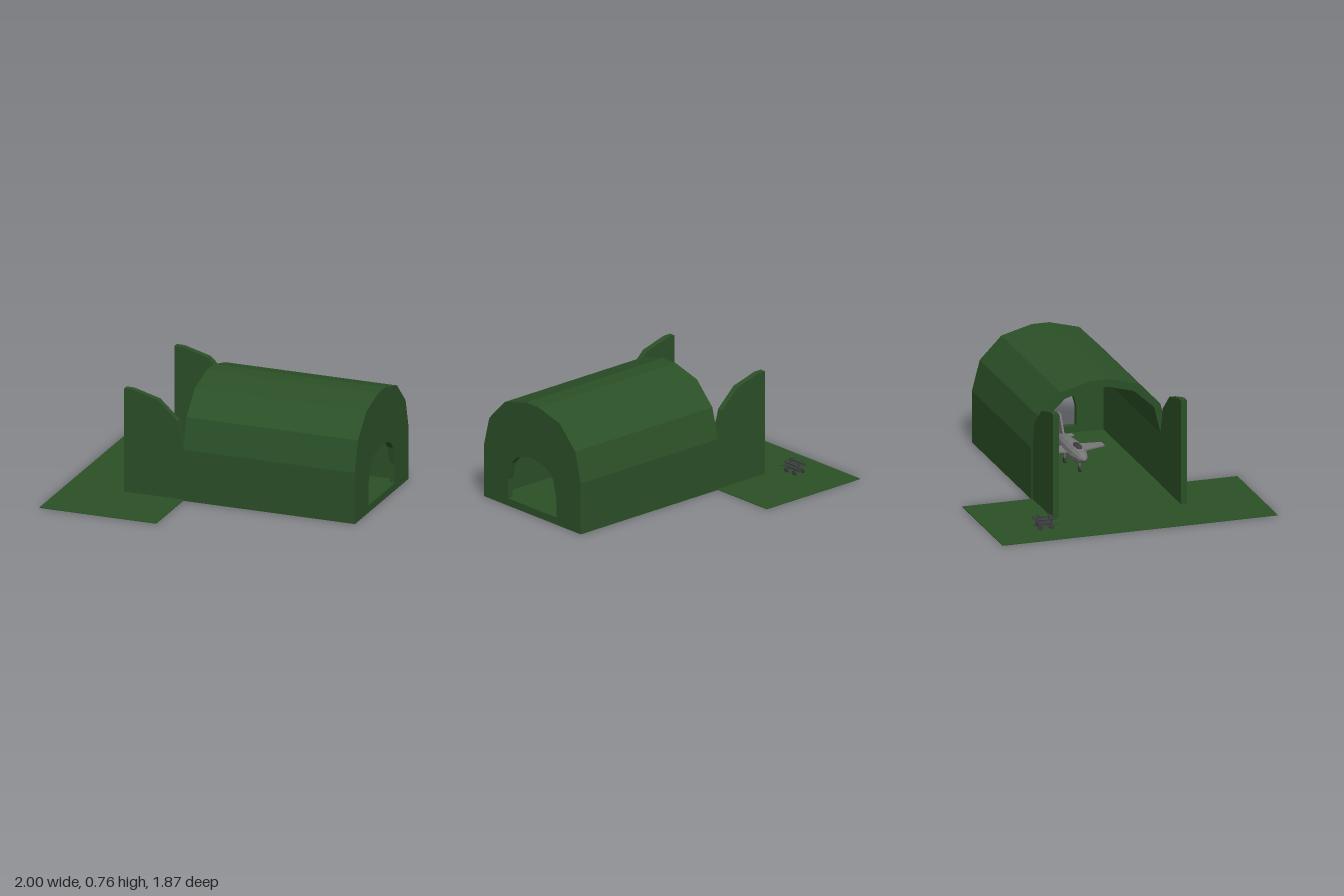
import * as THREE from 'three';

const paint = (color) => new THREE.MeshStandardMaterial({ color, flatShading: true });
const green = paint(0x2b5027), steel = paint(0x777777), dark = paint(0x3c3c40);

function add(parent, name, geometry, material, x = 0, y = 0, z = 0) {
  const mesh = new THREE.Mesh(geometry, material);
  mesh.name = name;
  mesh.position.set(x, y, z);
  parent.add(mesh);
  return mesh;
}
const box = (w, h, d) => new THREE.BoxGeometry(w, h, d);
const points = (list) => list.map(([a, b]) => new THREE.Vector2(a, b));
// Closed arch outline from the points of one half, bottom to top
const arch = (half) => points([...half, ...half.map(([z, y]) => [-z, y]).reverse()]);
const extrude = (shape, depth) => new THREE.ExtrudeGeometry(shape, { depth, bevelEnabled: false });

const OUTER = [[0.465, 0], [0.465, 0.35], [0.412, 0.555], [0.265, 0.705], [0.06, 0.76]];
const INNER = [[0.415, 0], [0.415, 0.35], [0.37, 0.535], [0.235, 0.66], [0.055, 0.71]];
const WINDOW = [[0.232, 0.05], [0.232, 0.18], [0.2, 0.3], [0.145, 0.357], [0.03, 0.39]];

function createHangar() {
  const hangar = new THREE.Group();
  hangar.name = 'hangar';
  // Vaulted shell, open towards the apron
  const halfRight = (list) => list.map(([z, y]) => [-z, y]);
  const shell = new THREE.Shape(points([
    ...OUTER, ...halfRight(OUTER).reverse(),
    ...halfRight(INNER), ...[...INNER].reverse(),
  ]));
  add(hangar, 'vaultedShell', extrude(shell, 1.15).rotateY(Math.PI / 2), green, -0.19);
  // End wall with arched opening
  const wall = new THREE.Shape(arch(OUTER));
  wall.holes.push(new THREE.Path(arch(WINDOW)));
  add(hangar, 'endWall', extrude(wall, 0.04).rotateY(Math.PI / 2), green, 0.96);
  add(hangar, 'hangarFloor', box(1.15, 0.004, 0.83), green, 0.385, 0.002, 0);
  // Door leaves swung open, each half of the arch
  const leaf = new THREE.Shape(points([[-0.605, 0], ...INNER.map(([z, y]) => [z - 0.605, y]), [-0.605, 0.71]]));
  for (const [name, z] of [['leftDoor', 0.412], ['rightDoor', -0.458]]) {
    add(hangar, name, extrude(leaf, 0.04), green, 0, 0, z);
  }
  return hangar;
}

function createAircraft() {
  const plane = new THREE.Group();
  plane.name = 'aircraft';
  // Fuselage, nose towards the door
  const profile = points([[0, -0.27], [0.018, -0.265], [0.03, -0.2], [0.05, -0.08],
    [0.06, 0.04], [0.056, 0.15], [0.035, 0.23], [0, 0.28]]);
  add(plane, 'fuselage', new THREE.LatheGeometry(profile, 12).rotateZ(Math.PI / 2), steel);
  // Wings and tailplane, mirrored halves in one outline
  const surface = (half, thick) => extrude(new THREE.Shape(points(
    [...half, ...half.map(([x, z]) => [x, -z]).reverse()])), thick).rotateX(Math.PI / 2);
  add(plane, 'wings', surface([[-0.1, 0], [-0.03, 0.215], [0.03, 0.215], [0.06, 0]], 0.01), steel, 0, 0.003);
  add(plane, 'tailplane', surface([[0.17, 0], [0.21, 0.09], [0.25, 0.09], [0.26, 0]], 0.007), steel, 0, 0.005);
  const fin = new THREE.Shape(points([[0.14, 0.02], [0.22, 0.155], [0.27, 0.155], [0.26, 0.01]]));
  add(plane, 'tailFin', extrude(fin, 0.012), steel, 0, 0, -0.006);
  add(plane, 'canopy', new THREE.SphereGeometry(0.035, 10, 6).scale(2, 0.8, 0.8), dark, -0.12, 0.04);
  // Landing gear
  for (const [x, z] of [[-0.17, 0], [0.03, 0.035], [0.03, -0.035]]) {
    add(plane, 'gearLeg', box(0.008, 0.07, 0.008), steel, x, -0.06, z);
    add(plane, 'gearWheel', new THREE.CylinderGeometry(0.02, 0.02, 0.014, 10).rotateX(Math.PI / 2), dark, x, -0.093, z);
  }
  plane.position.set(0.38, 0.117, 0);
  return plane;
}

function createCart() {
  const cart = new THREE.Group();
  cart.name = 'munitionsCart';
  add(cart, 'chassis', box(0.05, 0.012, 0.1), dark, 0, 0.038, 0);
  for (const z of [-0.037, 0.038]) {
    add(cart, 'axle', box(0.07, 0.007, 0.007), dark, 0, 0.022, z);
    add(cart, 'axleMount', box(0.03, 0.02, 0.01), dark, 0, 0.03, z);
    // Cradle posts and cross bars
    add(cart, 'crossBar', box(0.085, 0.005, 0.007), dark, 0, 0.062, z);
    add(cart, 'upperBar', box(0.085, 0.004, 0.007), dark, 0, 0.085, z);
    add(cart, 'post', box(0.007, 0.054, 0.007), dark, 0, 0.066, z);
    for (const side of [-1, 1]) {
      add(cart, 'wheel', new THREE.CylinderGeometry(0.018, 0.018, 0.01, 10).rotateZ(Math.PI / 2), dark, side * 0.035, 0.019, z);
    }
  }
  // Towing bar reaching forward
  add(cart, 'towBar', box(0.045, 0.005, 0.06), green, 0, 0.032, 0.08).rotation.x = 0.2;
  // Finned stores on the cradle
  for (const side of [-1, 1]) {
    const store = new THREE.Group();
    store.name = 'finnedStore';
    const body = points([[0, -0.075], [0.006, -0.07], [0.006, 0.06], [0, 0.08]]);
    add(store, 'storeBody', new THREE.LatheGeometry(body, 8).rotateX(Math.PI / 2), dark);
    add(store, 'flatFin', box(0.024, 0.002, 0.014), dark, 0, 0, -0.065);
    add(store, 'uprightFin', box(0.002, 0.024, 0.014), dark, 0, 0, -0.065);
    store.position.set(side * 0.03, 0.07, 0);
    cart.add(store);
  }
  cart.position.set(-0.76, 0, -0.57);
  return cart;
}

export function createModel() {
  const model = new THREE.Group();
  model.name = 'hangarSite';
  add(model, 'apron', box(0.81, 0.004, 1.87), green, -0.595, 0.002, 0);
  model.add(createHangar(), createAircraft(), createCart());
  return model;
}
